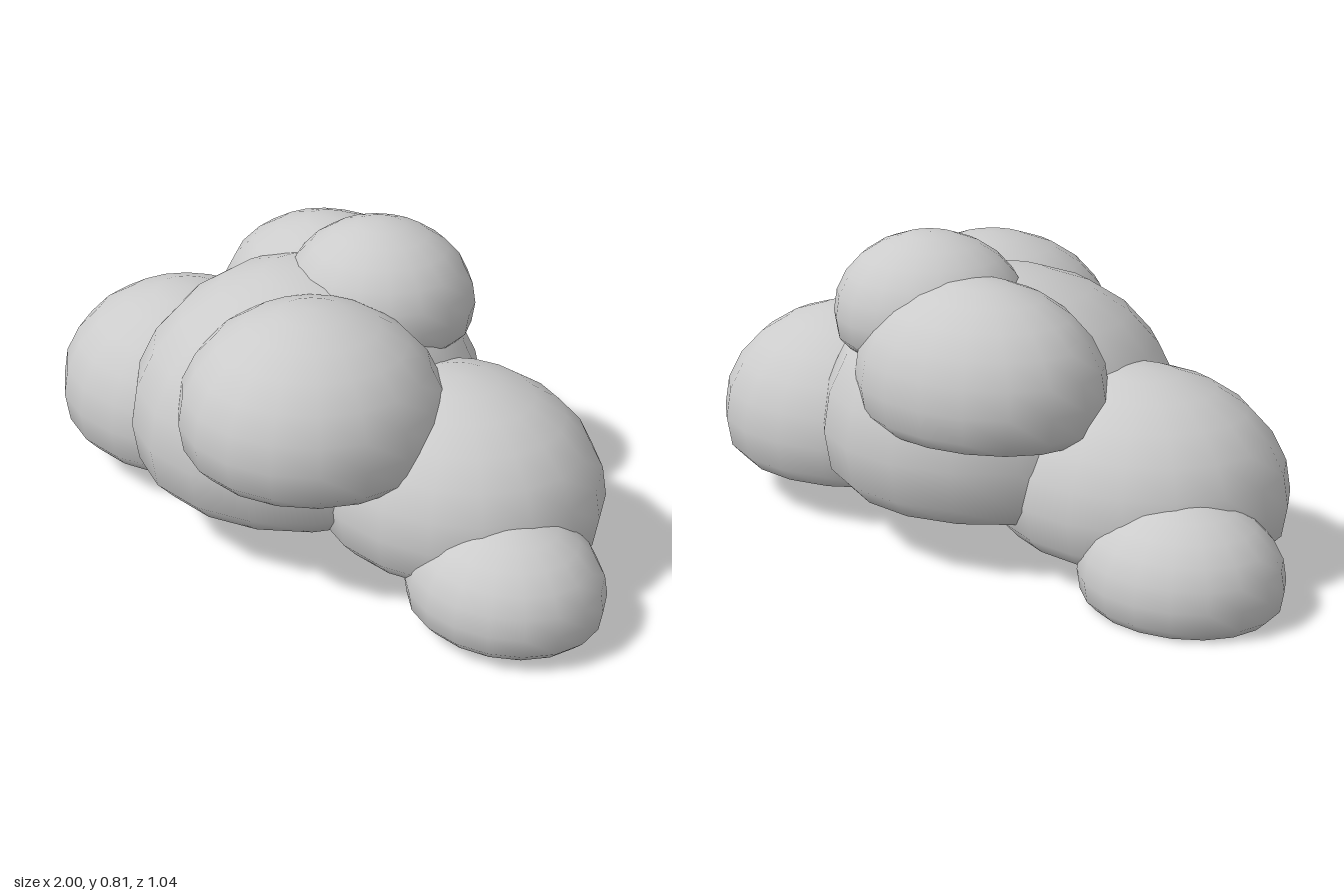
import * as THREE from 'three';
import { mergeVertices } from 'three/addons/utils/BufferGeometryUtils.js';

// Share of the radius kept below the middle of each puff
const FLOOR = 0.385;

// Unit ball whose underside is pressed flat, with smooth shared normals
function flatBottomedBall() {
  let ball = new THREE.SphereGeometry(1, 18, 12);
  ball.deleteAttribute('uv');
  ball.deleteAttribute('normal');
  ball = mergeVertices(ball, 1e-4);
  const p = ball.attributes.position;
  for (let i = 0; i < p.count; i++) p.setY(i, Math.max(p.getY(i), -FLOOR));
  return ball;
}

export function createModel() {
  const cloud = new THREE.Group();
  cloud.name = 'cloud';
  const material = new THREE.MeshStandardMaterial({ color: 0xcccccc });
  const ball = flatBottomedBall();

  // name, centre x / z, underside height, radii x / y / z
  const puffs = [
    ['centrePuff', -0.03, -0.025, 0.142, 0.465, 0.405, 0.49],
    ['rightPuff', -0.47, 0.02, 0.085, 0.4, 0.307, 0.352],
    ['leftPuff', 0.45, -0.105, 0.108, 0.395, 0.307, 0.36],
    ['farRightPuff', -0.735, -0.135, 0, 0.265, 0.2, 0.235],
    ['farLeftPuff', 0.735, 0.02, 0.027, 0.265, 0.2, 0.235],
    ['frontPuff', 0.205, 0.18, 0.33, 0.345, 0.285, 0.343],
    ['backPuff', -0.17, -0.25, 0.365, 0.355, 0.265, 0.28],
    ['topPuff', 0.063, -0.193, 0.513, 0.263, 0.214, 0.245],
  ];

  for (const [name, x, z, bottom, rx, ry, rz] of puffs) {
    // Bake the stretch so the normals follow the pressed shape
    const geometry = ball.clone().scale(rx, ry, rz);
    geometry.computeVertexNormals();
    const puff = new THREE.Mesh(geometry, material);
    puff.name = name;
    puff.position.set(x, bottom + FLOOR * ry, z);
    cloud.add(puff);
  }
  return cloud;
}
